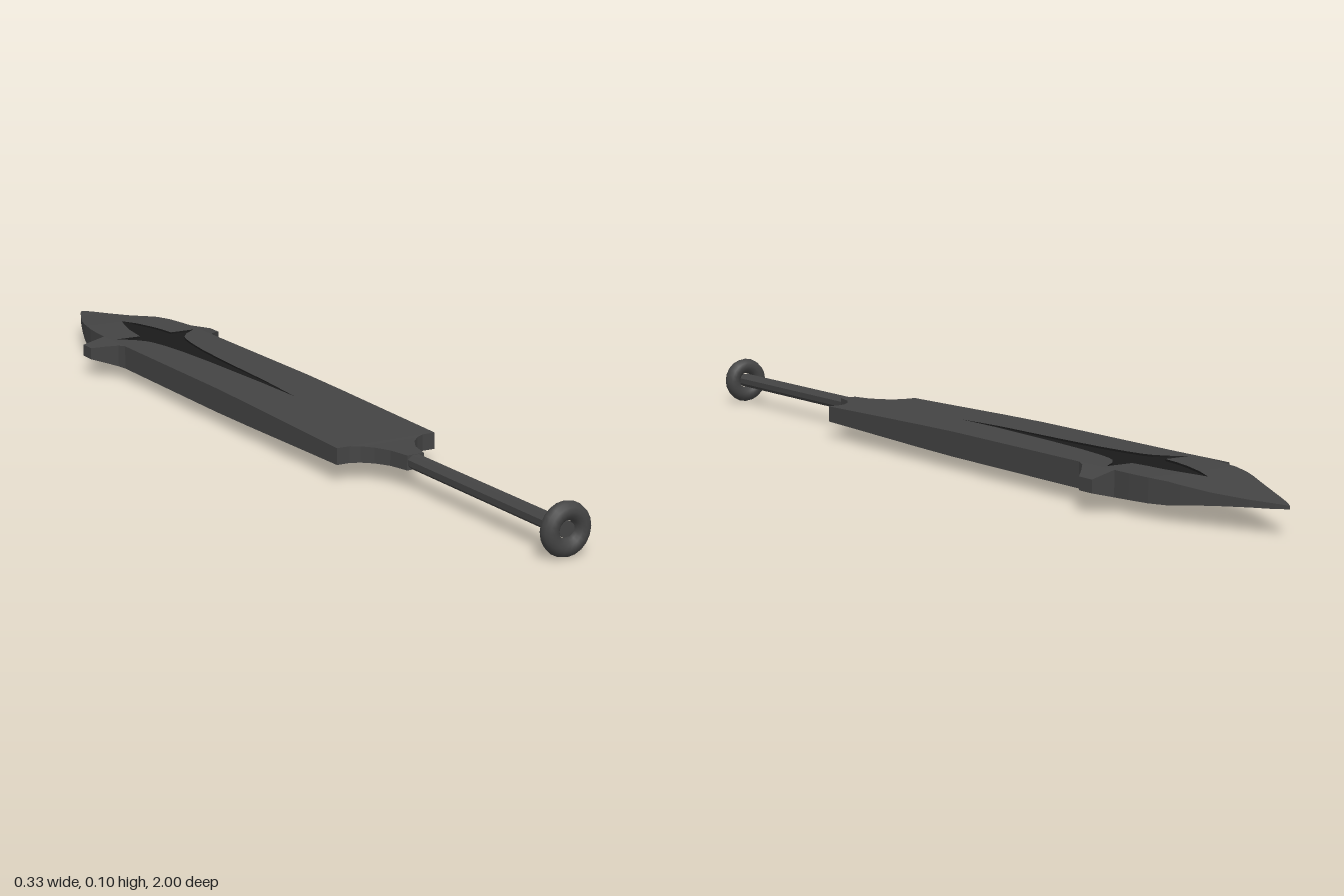
import * as THREE from 'three';

const STEEL = 0x444444, DARK = 0x1a1a1a, AXIS_Y = 0.052, BODY_W = 0.113;

// Blade stations from tip to handle: [z, half width, half thickness, half width of groove]
const STATIONS = [
  [-1, 0, 0.003, 0], [-0.975, 0.014, 0.005, 0], [-0.93, 0.035, 0.007, 0],
  [-0.86, 0.064, 0.012, 0], [-0.8, 0.086, 0.019, 0], [-0.775, 0.093, 0.022, 0],
  [-0.73, 0.104, 0.024, 0.016], [-0.68, 0.11, 0.025, 0.029],
  [-0.64, 0.113, 0.026, 0.035], [-0.64, 0.165, 0.026, 0.035],
  [-0.6, 0.165, 0.026, 0.04], [-0.6, 0.165, 0.026, 0.1],
  [-0.575, 0.141, 0.026, 0.068], [-0.55, 0.12, 0.026, 0.049],
  [-0.53, 0.113, 0.026, 0.041], [-0.49, 0.113, 0.026, 0.033],
  [-0.42, 0.113, 0.026, 0.024], [-0.31, 0.113, 0.026, 0.016],
  [-0.1, 0.113, 0.026, 0.007], [0.04, 0.113, 0.024, 0],
  [0.24, 0.113, 0.02, 0], [0.395, 0.113, 0.017, 0], [0.395, 0.085, 0.017, 0],
  [0.405, 0.066, 0.0165, 0], [0.425, 0.046, 0.016, 0], [0.455, 0.029, 0.0155, 0],
  [0.5, 0.019, 0.015, 0], [0.5, 0, 0.015, 0],
];

// Closed cross-section: upper half right to left, then its half-turn
function section([z, w, t, g]) {
  const b = Math.min(w, BODY_W);
  const edge = t - (w - b) * 0.25;
  const floor = t - Math.min(0.004, g * 0.3);
  const right = [[w, edge], [b, t], [g, t], [g, floor]];
  const upper = [...right, ...right.slice().reverse().map(([x, y]) => [-x, y])];
  return [...upper, ...upper.map(([x, y]) => [-x, -y])].map(([x, y]) => [x, y, z]);
}

// Faceted loft over the section sides picked by the filter
function loft(rings, keep) {
  const pos = [];
  for (let i = 0; i < rings.length - 1; i++) {
    const n = rings[i].length;
    for (let j = 0; j < n; j++) {
      if (!keep(j)) continue;
      const k = (j + 1) % n;
      const a = rings[i][j], b = rings[i][k], c = rings[i + 1][k], d = rings[i + 1][j];
      pos.push(...a, ...b, ...c, ...a, ...c, ...d);
    }
  }
  const geo = new THREE.BufferGeometry();
  geo.setAttribute('position', new THREE.Float32BufferAttribute(pos, 3));
  geo.computeVertexNormals();
  return geo;
}

export function createModel() {
  const sword = new THREE.Group();
  sword.name = 'sword';
  const add = (name, geo, color, flatShading = true) => {
    const mesh = new THREE.Mesh(geo, new THREE.MeshStandardMaterial({ color, flatShading }));
    mesh.name = name;
    mesh.position.y = AXIS_Y;
    sword.add(mesh);
    return mesh;
  };

  // Blade with side barbs, and the dark star groove on both faces
  const rings = STATIONS.map(section);
  const isGroove = (j) => j % 8 >= 2 && j % 8 <= 4;
  add('blade', loft(rings, (j) => !isGroove(j)), STEEL);
  add('starGroove', loft(rings, isGroove), DARK);

  // Octagonal handle
  const rod = new THREE.CylinderGeometry(0.0175, 0.0175, 0.5, 8);
  rod.rotateY(Math.PI / 8).rotateX(Math.PI / 2).scale(1.08, 0.88, 1);
  add('handle', rod, STEEL).position.z = 0.735;

  // Ring pommel
  add('pommel', new THREE.TorusGeometry(0.0345, 0.0175, 12, 20), STEEL, false).position.z = 0.9825;

  return sword;
}
